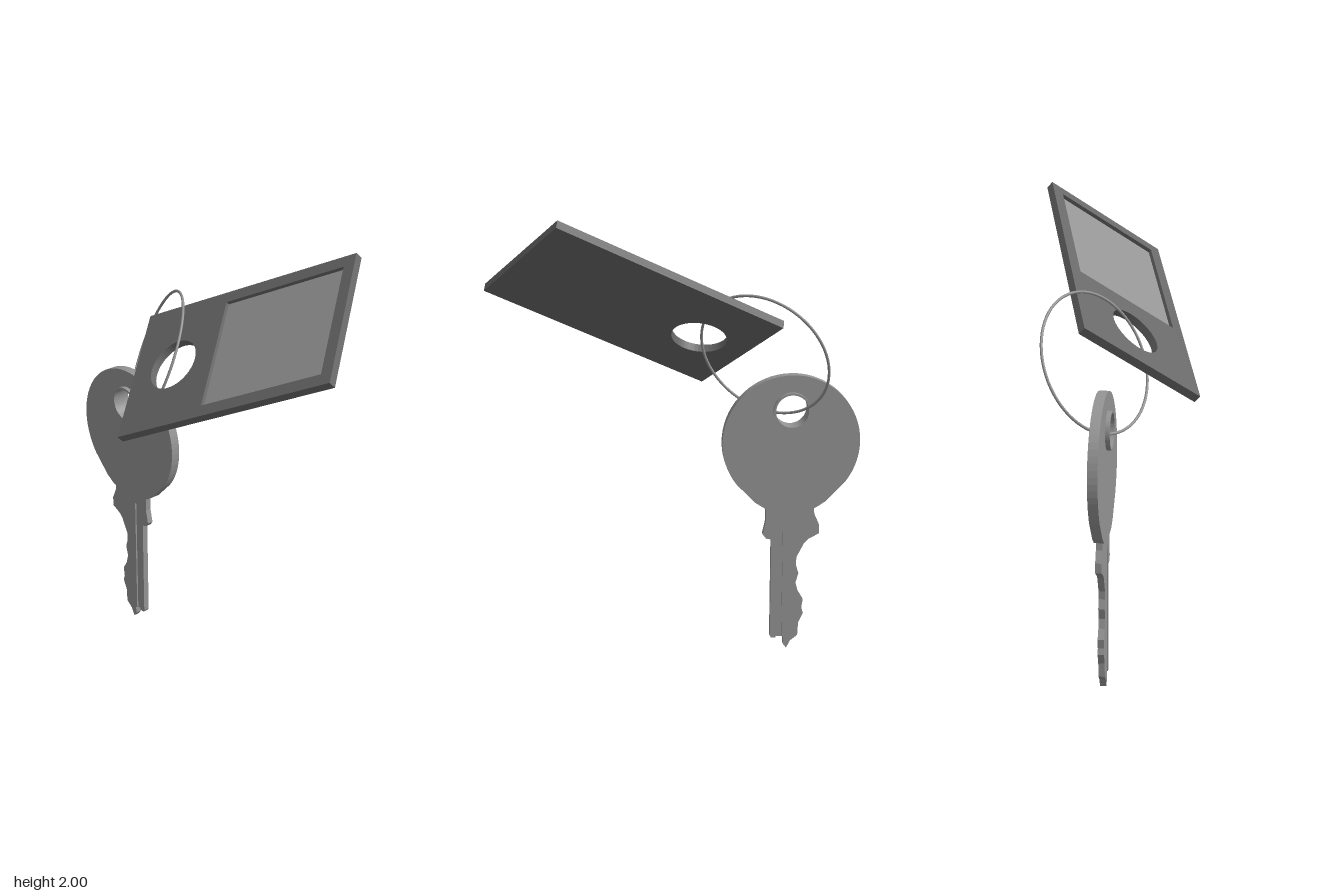
import * as THREE from 'three';

const metal = new THREE.MeshStandardMaterial({ color: 0x949494 });
const plastic = new THREE.MeshStandardMaterial({ color: 0x686868 });

function part(name, geometry, material) {
  const mesh = new THREE.Mesh(geometry, material);
  mesh.name = name;
  return mesh;
}

// Extrudes a shape between two depths
function slab(name, shape, z0, z1, material) {
  const g = new THREE.ExtrudeGeometry(shape, { depth: z1 - z0, bevelEnabled: false, curveSegments: 24 });
  g.translate(0, 0, z0);
  return part(name, g, material);
}

const circle = (x, y, r) => new THREE.Path().absarc(x, y, r, 0, Math.PI * 2, true);

function rectangle(x0, y0, x1, y1, Kind = THREE.Shape) {
  return new Kind([[x0, y0], [x1, y0], [x1, y1], [x0, y1]].map(p => new THREE.Vector2(...p)));
}

function makeKey() {
  const key = new THREE.Group();
  key.name = 'key';
  key.position.set(-0.505, 0, 0.012);

  // Round bow, drawn in slightly to the neck at the bottom
  const bow = new THREE.Shape();
  bow.absarc(0, 0.96, 0.302, -Math.PI * 0.21, Math.PI * 1.21, false);
  bow.lineTo(-0.157, 0.69);
  bow.lineTo(-0.112, 0.661);
  bow.quadraticCurveTo(0, 0.634, 0.112, 0.661);
  bow.lineTo(0.157, 0.69);
  bow.closePath();
  bow.holes.push(circle(0, 1.105, 0.075));
  key.add(slab('keyBow', bow, -0.021, 0.021, metal));

  // Raised collar around the hole
  const collar = new THREE.Shape().absarc(0, 1.105, 0.081, 0, Math.PI * 2, false);
  collar.holes.push(circle(0, 1.105, 0.072));
  key.add(slab('holeCollar', collar, -0.04, 0.04, metal));

  // Neck, cut teeth, tip and the open slot for the groove
  const outline = [
    [-0.105, 0.67], [-0.108, 0.63], [-0.13, 0.58], [-0.13, 0.538], [-0.085, 0.515], [-0.065, 0.495],
    [-0.032, 0.43], [-0.03, 0.395], [-0.042, 0.355], [-0.03, 0.31], [-0.04, 0.27], [-0.064, 0.23],
    [-0.058, 0.19], [-0.066, 0.165], [-0.045, 0.12], [-0.042, 0.06], [-0.01, 0.035], [0.008, 0],
    [0.023, 0.02], [0.022, 0.05], [0.03, 0.058], [0.03, 0.61], [0.055, 0.61], [0.055, 0.05],
    [0.076, 0.05], [0.082, 0.06], [0.082, 0.515], [0.105, 0.52], [0.12, 0.54], [0.107, 0.6], [0.107, 0.67],
  ];
  const blade = new THREE.Shape(outline.map(p => new THREE.Vector2(...p)));
  key.add(slab('keyBlade', blade, -0.0135, 0.0135, metal));
  key.add(slab('bladeGroove', rectangle(0.028, 0.055, 0.057, 0.612), -0.0065, 0.0065, metal));
  return key;
}

function makeTag() {
  const tag = new THREE.Group();
  tag.name = 'tag';
  const W = 0.555, H = 0.318, hole = () => circle(-0.333, 0, 0.121);

  // Backing plate, then a frame layer that leaves the window recessed
  const back = rectangle(-W, -H, W, H);
  back.holes.push(hole());
  tag.add(slab('tagBack', back, -0.036, -0.018, plastic));

  const frame = rectangle(-W, -H, W, H);
  frame.holes.push(hole(), rectangle(-0.108, -0.264, 0.502, 0.264, THREE.Path));
  tag.add(slab('tagFrame', frame, -0.018, 0, plastic));

  // Lighter insert lying in the window
  tag.add(slab('windowInsert', rectangle(-0.108, -0.264, 0.502, 0.264), -0.02, -0.0165, metal));

  // Tilt the tag: long side, short side, then its facing direction
  const u = new THREE.Vector3(0.955, 0.485, -0.283).normalize();
  const n = u.clone().cross(new THREE.Vector3(-0.305, 0.34, -0.45)).normalize();
  const v = n.clone().cross(u);
  tag.quaternion.setFromRotationMatrix(new THREE.Matrix4().makeBasis(u, v, n));
  tag.position.set(0.174, 1.589, 0.014);
  return tag;
}

function makeRing() {
  const ring = part('splitRing', new THREE.TorusGeometry(0.3, 0.006, 10, 72), metal);
  ring.position.set(-0.378, 1.358, -0.033);
  const axis = new THREE.Vector3(-0.514, 0.377, 0.77).normalize();
  ring.quaternion.setFromUnitVectors(new THREE.Vector3(0, 0, 1), axis);
  return ring;
}

export function createModel() {
  const model = new THREE.Group();
  model.name = 'keyWithTag';
  model.add(makeKey(), makeRing(), makeTag());
  return model;
}
